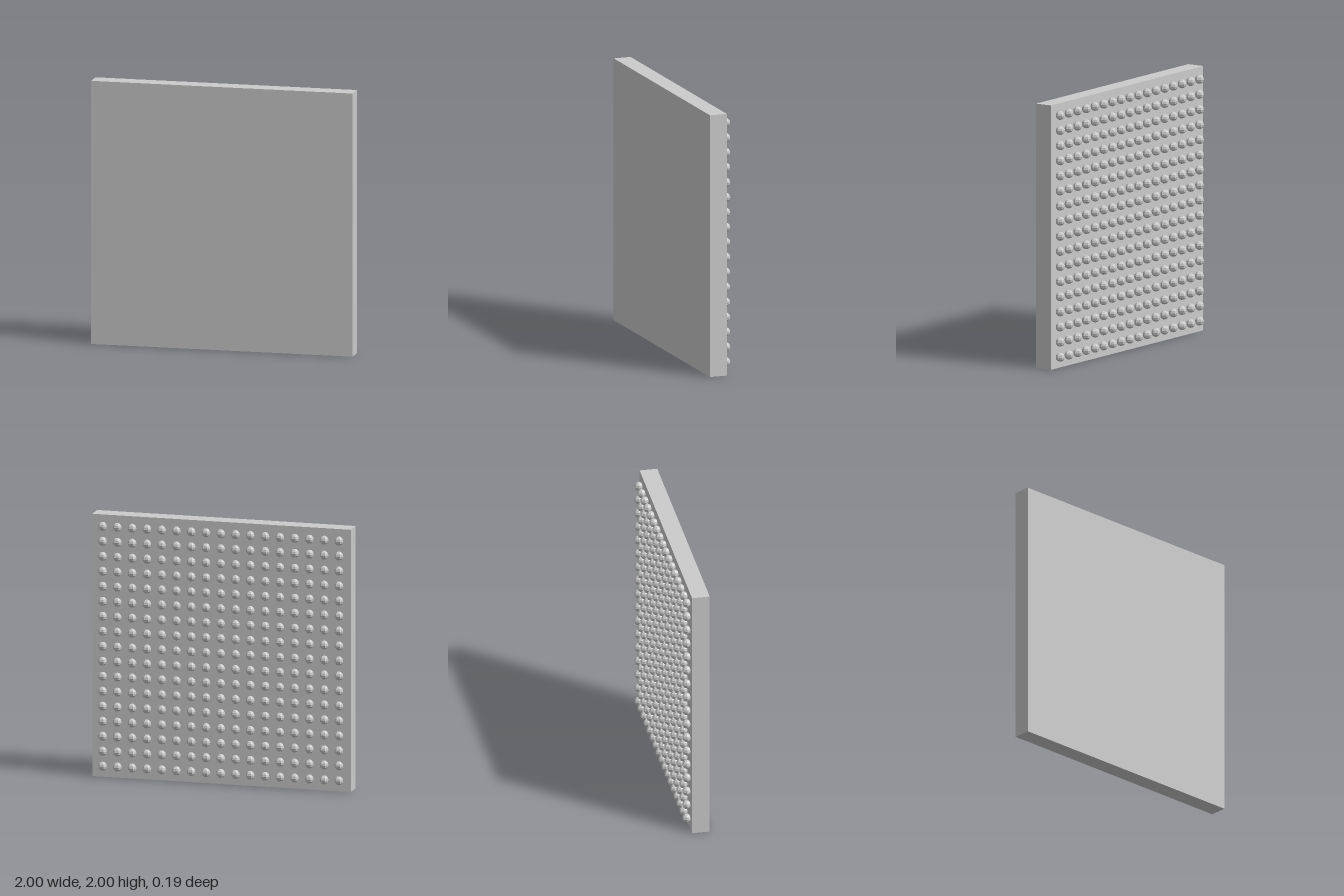
import * as THREE from 'three';

export function createModel() {
  const model = new THREE.Group();
  const material = new THREE.MeshStandardMaterial({ color: 0xcccccc, flatShading: true });

  // Square slab
  const slab = new THREE.Mesh(new THREE.BoxGeometry(2, 2, 0.134), material);
  slab.name = 'slab';
  slab.position.set(0, 1, 0.027);
  model.add(slab);

  // Grid of low-poly studs slightly sunk into the back face
  const studs = new THREE.Group();
  studs.name = 'studs';
  const studGeometry = new THREE.SphereGeometry(0.0343, 6, 6);
  const count = 17;
  const spacing = 2 / 17.5;
  for (let row = 0; row < count; row++) {
    for (let col = 0; col < count; col++) {
      const stud = new THREE.Mesh(studGeometry, material);
      stud.name = 'stud';
      stud.position.set(
        (col - (count - 1) / 2) * spacing,
        1 + (row - (count - 1) / 2) * spacing,
        -0.0643
      );
      studs.add(stud);
    }
  }
  model.add(studs);

  return model;
}
